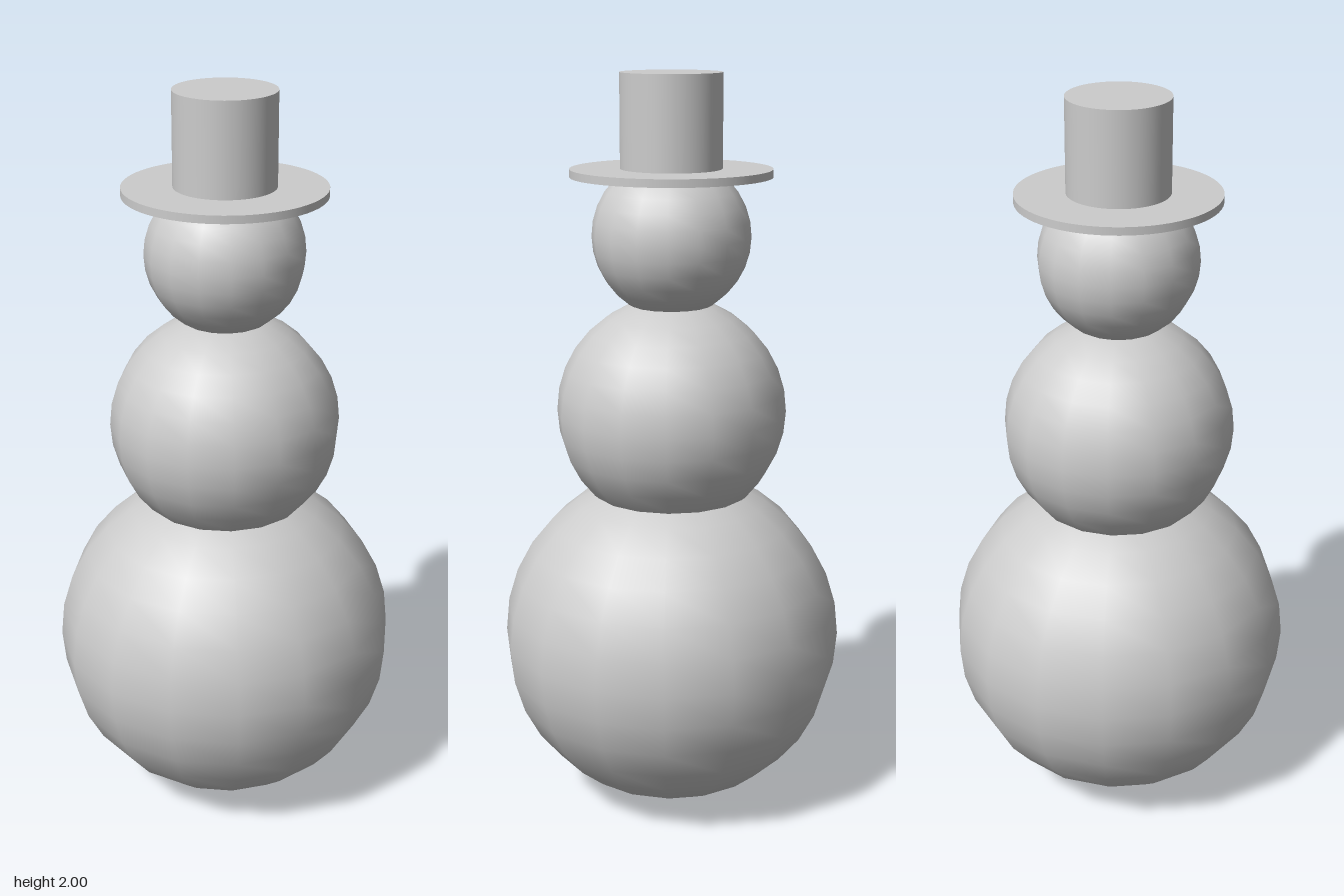
import * as THREE from 'three';

export function createModel() {
  const model = new THREE.Group();
  model.name = 'snowman';

  const grey = new THREE.MeshStandardMaterial({ color: 0xcccccc });
  grey.name = 'light grey';

  function add(name, geometry, y) {
    const mesh = new THREE.Mesh(geometry, grey);
    mesh.name = name;
    mesh.position.y = y;
    model.add(mesh);
  }

  // Three stacked snowballs: name, radius, centre height
  const balls = [
    ['lowerBody', 0.465, 0.465],
    ['upperBody', 0.31, 1.105],
    ['head', 0.211, 1.577],
  ];
  for (const [name, radius, y] of balls) {
    add(name, new THREE.SphereGeometry(radius, 16, 16), y);
  }

  // Top hat: name, radius, bottom, top
  const hat = [
    ['hatBrim', 0.266, 1.734, 1.755],
    ['hatCrown', 0.134, 1.745, 2.0],
  ];
  for (const [name, radius, bottom, top] of hat) {
    add(name, new THREE.CylinderGeometry(radius, radius, top - bottom, 64), (bottom + top) / 2);
  }

  return model;
}
